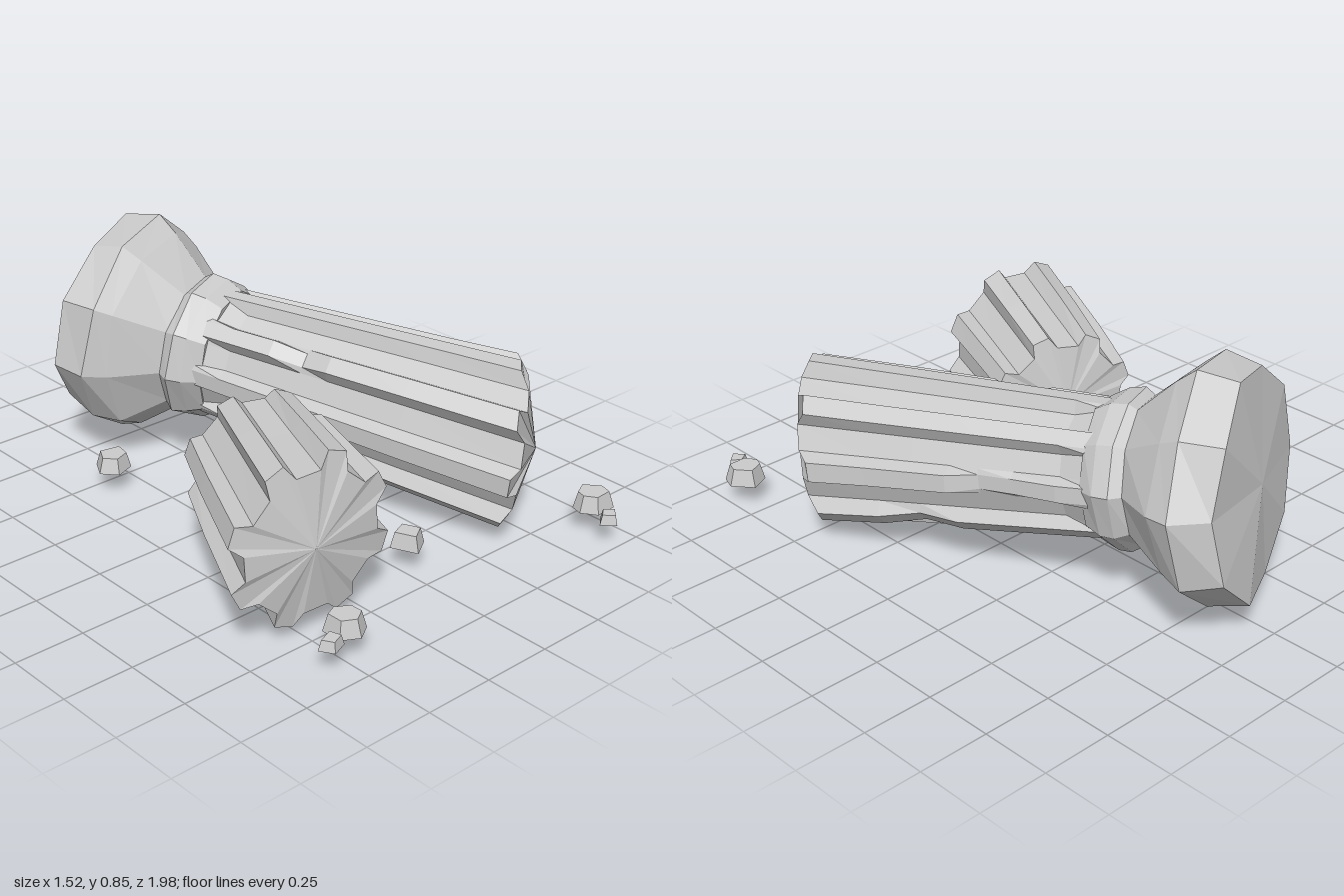
import * as THREE from 'three';

const material = new THREE.MeshStandardMaterial({ color: 0xcccccc, flatShading: true });

// Small seeded generator for the rough, hand-cut look
let seed = 7;
const rand = () => (seed = (seed * 16807) % 2147483647) / 2147483647;
const jitter = (amount) => (rand() - 0.5) * 2 * amount;

// Skin over cross-sections stacked along +z, closed by a fan at each end
function loft(name, rings, backCentre, frontCentre) {
  const points = [];
  const tri = (...corners) => corners.forEach((p) => points.push(p.x, p.y, p.z));
  const n = rings[0].length;
  const last = rings[rings.length - 1];
  for (let i = 0; i < n; i++) {
    const j = (i + 1) % n;
    for (let k = 0; k < rings.length - 1; k++) {
      const a = rings[k], b = rings[k + 1];
      tri(a[i], a[j], b[j]);
      tri(a[i], b[j], b[i]);
    }
    tri(backCentre, rings[0][j], rings[0][i]);
    tri(frontCentre, last[i], last[j]);
  }
  const geometry = new THREE.BufferGeometry();
  geometry.setAttribute('position', new THREE.Float32BufferAttribute(points, 3));
  geometry.computeVertexNormals();
  const mesh = new THREE.Mesh(geometry, material);
  mesh.name = name;
  return mesh;
}

const polar = (angle, r, z) => new THREE.Vector3(r * Math.cos(angle), r * Math.sin(angle), z);

// Cross-section with eight flat-topped ribs; lowered(rib) cuts a rib down
const RIBS = 8;
function flutedRing(outer, inner, z, phase, { slant = 0, bulge = 0, lowered = () => 0 } = {}) {
  const ring = [];
  const step = (Math.PI * 2) / RIBS;
  for (let rib = 0; rib < RIBS; rib++) {
    const tip = outer - (outer - inner) * lowered(rib);
    for (const [offset, r] of [[-0.27, inner], [-0.15, tip], [0.15, tip], [0.27, inner]]) {
      const p = polar(phase + (rib + offset) * step, r, z);
      p.z += slant * p.x + (r === inner ? bulge : 0);
      ring.push(p);
    }
  }
  return ring;
}

// Places a part so that its local +z runs from one point to another
function aim(group, from, to) {
  group.position.set(...from);
  group.lookAt(...to);
  return group;
}

function createLongColumn() {
  const group = new THREE.Group();
  group.name = 'fallenColumn';

  // Flared capital, broad end at the back
  const capitalProfile = [
    [0.0, 0.375, 0.02], [0.13, 0.405, 0.015], [0.21, 0.365, 0.015], [0.36, 0.235, 0.006],
  ];
  const sides = 10;
  const makeRings = (profile) => profile.map(([z, r, rough]) =>
    Array.from({ length: sides }, (_, i) =>
      polar(((i + 0.2) / sides) * Math.PI * 2, r + jitter(rough), z + jitter(rough))));
  const capitalRings = makeRings(capitalProfile);
  // Chipped rim on the lower right
  capitalRings[0][6].multiplyScalar(0.86);
  capitalRings[1][6].multiplyScalar(0.92);
  group.add(loft('capital', capitalRings, new THREE.Vector3(0, 0, -0.025), new THREE.Vector3(0, 0, 0.36)));

  // Collar below the capital
  const collarRings = makeRings([
    [0.34, 0.235, 0.004], [0.39, 0.268, 0.006], [0.44, 0.262, 0.006], [0.5, 0.228, 0.004],
  ]);
  group.add(loft('collar', collarRings, new THREE.Vector3(0, 0, 0.34), new THREE.Vector3(0, 0, 0.5)));

  // Fluted shaft: flutes fade in at the collar, some ribs are chipped
  const phase = 0.05;
  const end = 1.565;
  const chips = { 2: { 0: 0.6, 5: 0.5 }, 3: { 0: 0.9, 3: 0.8, 5: 0.7 }, 4: { 5: 0.2 }, 5: { 7: 0.5 } };
  const stations = [0.46, 0.58, 0.74, 0.86, 0.96, 1.1, 1.25, end];
  const shaftRings = stations.map((z, k) => {
    const f = (z - 0.46) / (end - 0.46);
    const outer = 0.232 + 0.06 * f;
    const inner = k === 0 ? 0.225 : 0.19 + 0.05 * f;
    const atEnd = k === stations.length - 1;
    return flutedRing(outer, inner, z, phase, {
      slant: atEnd ? -0.38 : 0,
      bulge: atEnd ? 0.035 : 0,
      lowered: (rib) => chips[k]?.[rib] ?? 0,
    });
  });
  group.add(loft('flutedShaft', shaftRings, new THREE.Vector3(0, 0, 0.46), new THREE.Vector3(0, 0, end + 0.1)));
  return aim(group, [-0.06, 0.465, -0.84], [0.53, 0.3, 0.6]);
}

function createStub() {
  const group = new THREE.Group();
  group.name = 'columnStub';
  const phase = 0.45;
  const length = 0.56;
  const rings = [
    flutedRing(0.255, 0.215, 0, phase, { bulge: -0.015 }),
    flutedRing(0.275, 0.225, 0.28, phase),
    flutedRing(0.29, 0.238, length, phase, { slant: -0.33, bulge: 0.02 }),
  ];
  group.add(loft('stubDrum', rings, new THREE.Vector3(0, 0, -0.05), new THREE.Vector3(0, 0, length + 0.06)));
  return aim(group, [-0.23, 0.322, 0.19], [-0.465, 0.33, 0.7]);
}

// Loose stones: tapered blocks with an uneven outline
function createRubble() {
  const group = new THREE.Group();
  group.name = 'rubble';
  const stones = [
    // x, z, radius, height, sides
    [-0.35, -0.45, 0.065, 0.055, 5], [0.04, 0.62, 0.063, 0.055, 4],
    [-0.465, 0.855, 0.066, 0.06, 6], [-0.56, 0.9, 0.043, 0.035, 4],
    [0.685, 0.85, 0.07, 0.06, 6], [0.65, 0.955, 0.04, 0.035, 4],
  ];
  for (const [x, z, radius, height, sides] of stones) {
    const turn = rand() * 6;
    const base = Array.from({ length: sides }, (_, i) =>
      polar(turn + (i / sides) * Math.PI * 2 + jitter(0.2), radius * (1 + jitter(0.12)), 0));
    const top = base.map((p) => new THREE.Vector3(p.x * 0.75, p.y * 0.75, height));
    const stone = loft('stone', [base, top], new THREE.Vector3(), new THREE.Vector3(0, 0, height));
    stone.rotation.x = -Math.PI / 2;
    stone.position.set(x, 0.087, z);
    group.add(stone);
  }
  return group;
}

export function createModel() {
  seed = 7;
  const model = new THREE.Group();
  model.name = 'brokenColumn';
  model.add(createLongColumn(), createStub(), createRubble());
  return model;
}
